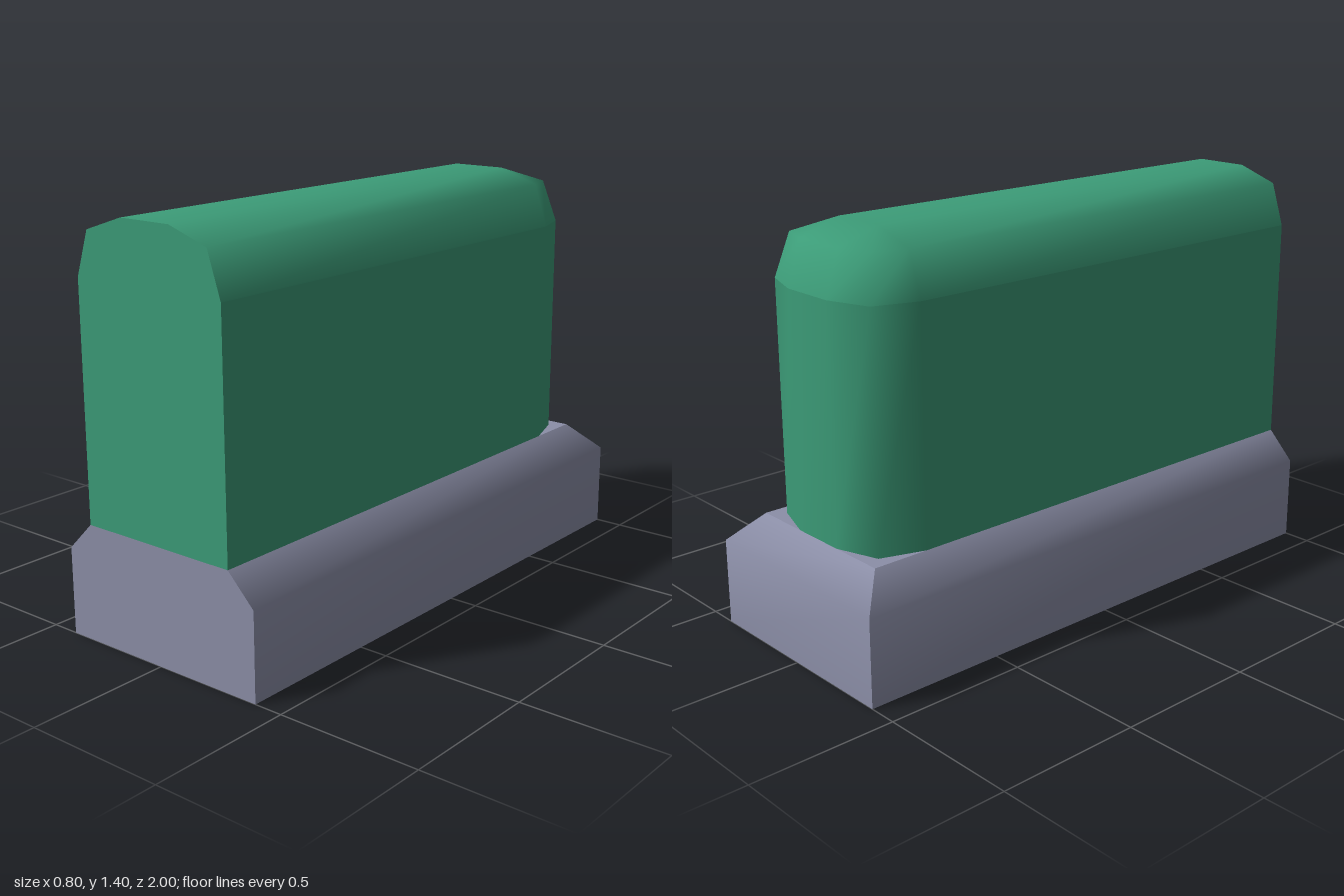
import * as THREE from 'three';
import { mergeVertices } from 'three/addons/utils/BufferGeometryUtils.js';

// Smooth surface through rows of [x, y, z] points
function loft(rows) {
  const n = rows[0].length, index = [];
  for (let i = 0; i < rows.length - 1; i++) {
    for (let j = 0; j < n - 1; j++) {
      const a = i * n + j, b = a + 1, c = b + n, d = a + n;
      index.push(a, b, c, a, c, d);
    }
  }
  const geo = new THREE.BufferGeometry();
  geo.setAttribute('position', new THREE.Float32BufferAttribute(rows.flat(2), 3));
  geo.setIndex(index);
  const merged = mergeVertices(geo);
  merged.computeVertexNormals();
  return merged;
}

// Flat end face at z = 1, mirrored from its right-hand outline (bottom to top)
function endFace(half) {
  const left = half.map(([x, y]) => [-x, y]).reverse();
  const points = [...half, ...left].map(([x, y]) => new THREE.Vector2(x, y));
  return new THREE.ShapeGeometry(new THREE.Shape(points)).translate(0, 0, 1);
}

// Hedge plan at height y: a U open to the front, corners of radius r
function plan(y, r) {
  const half = [[0.1 + r, 1], [0.1 + r, -0.7], [0.1 + r * 0.75, -0.7 - r * 0.75], [0.1, -0.7 - r]];
  const right = half.map(([x, z]) => [x, y, z]);
  const left = half.map(([x, z]) => [-x, y, z]).reverse();
  return [...right, ...left];
}

export function createModel() {
  const leaf = new THREE.MeshStandardMaterial({ color: 0x3c9c78 });
  leaf.name = 'leaf green';
  const stone = new THREE.MeshStandardMaterial({ color: 0x8c8fa8 });
  stone.name = 'stone grey';

  const model = new THREE.Group();
  model.name = 'hedgeOnPlinth';
  const hedge = new THREE.Group();
  hedge.name = 'hedge';
  const plinth = new THREE.Group();
  plinth.name = 'plinth';
  model.add(hedge, plinth);

  const add = (group, name, geo, mat) => {
    const mesh = new THREE.Mesh(geo, mat);
    mesh.name = name;
    group.add(mesh);
  };

  // Hedge: upright walls, rounded crown closed across the top, flat front
  add(hedge, 'hedgeWalls', loft([plan(0.4, 0.2), plan(1.2, 0.2)]), leaf);
  const ridge = plan(1.4, 0);
  const close = ridge.map(([, y, z]) => [-0.1, y, z]);
  add(hedge, 'hedgeCrown', loft([plan(1.2, 0.2), plan(1.35, 0.15), ridge, close]), leaf);
  add(hedge, 'hedgeFront', endFace([[0.3, 0.4], [0.3, 1.2], [0.25, 1.35], [0.1, 1.4]]), leaf);

  // Plinth: softly shaded chamfered sides and back
  const profile = [[0.4, 0, -1], [0.4, 0.3, -1], [0.3, 0.4, -0.9]];
  add(plinth, 'plinthRight', loft(profile.map(([x, y, z]) => [[x, y, 1], [x, y, z]])), stone);
  add(plinth, 'plinthBack', loft(profile.map(([x, y, z]) => [[x, y, z], [-x, y, z]])), stone);
  add(plinth, 'plinthLeft', loft(profile.map(([x, y, z]) => [[-x, y, z], [-x, y, 1]])), stone);

  // Plinth: flat front, top and underside
  add(plinth, 'plinthFront', endFace(profile.map(([x, y]) => [x, y])), stone);
  add(plinth, 'plinthTop', loft([0.3, -0.3].map((x) => [[x, 0.4, 1], [x, 0.4, -0.9]])), stone);
  add(plinth, 'plinthUnderside', loft([-0.4, 0.4].map((x) => [[x, 0, 1], [x, 0, -1]])), stone);

  return model;
}
